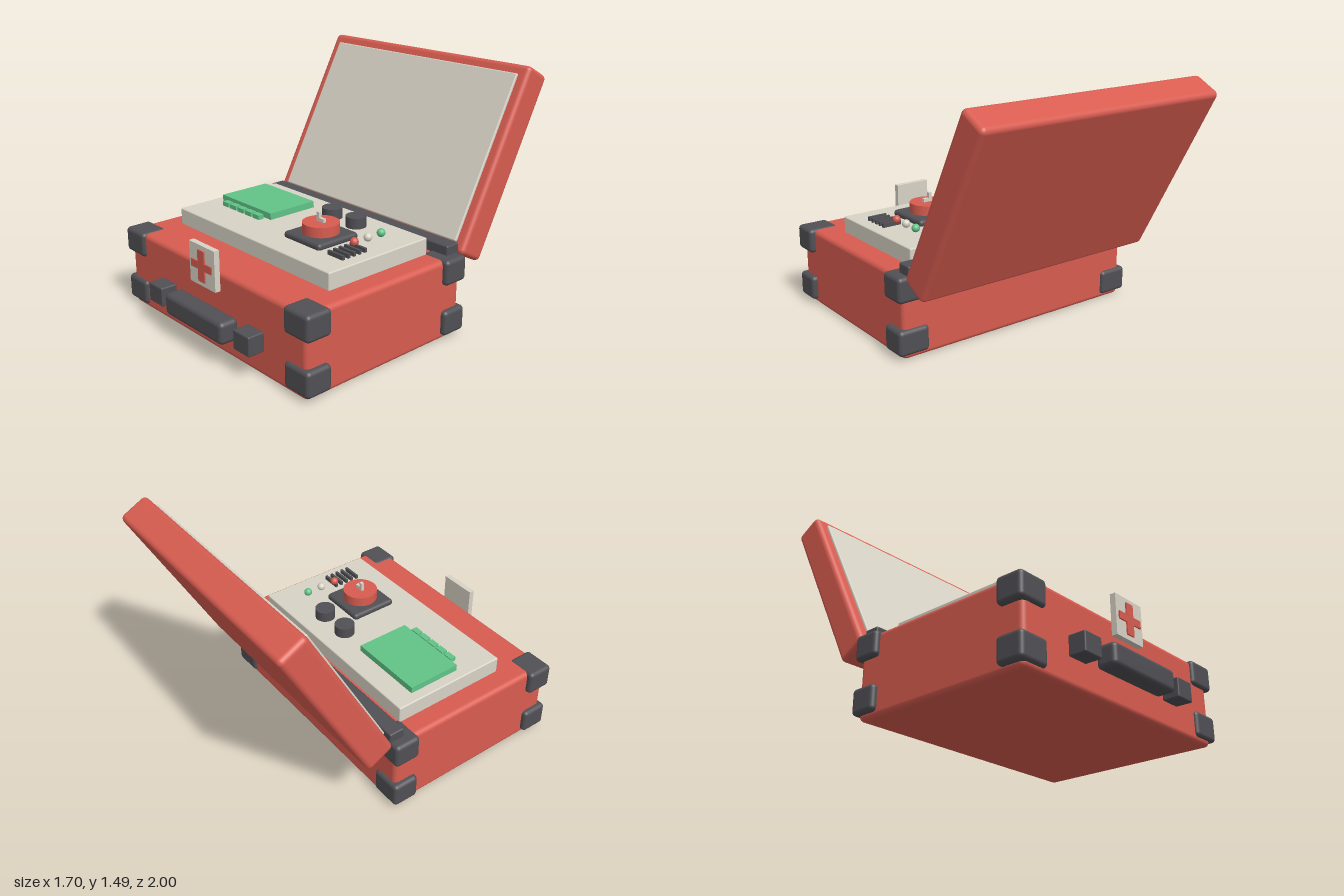
import * as THREE from 'three';
import { RoundedBoxGeometry } from 'three/addons/geometries/RoundedBoxGeometry.js';

const mat = (name, color) => {
  const m = new THREE.MeshStandardMaterial({ color });
  m.name = name;
  return m;
};

export function createModel() {
  const red = mat('red', 0xd85c50);
  const cream = mat('cream', 0xd8d3c6);
  const dark = mat('charcoal', 0x505055);
  const green = mat('green', 0x62c488);

  const model = new THREE.Group();
  model.name = 'medicalCase';

  const add = (name, geometry, material, x, y, z, parent = model) => {
    const mesh = new THREE.Mesh(geometry, material);
    mesh.name = name;
    mesh.position.set(x, y, z);
    parent.add(mesh);
    return mesh;
  };
  // Box given by its limits on each axis, with optional rounded edges
  const box = (name, material, [x0, x1], [y0, y1], [z0, z1], r = 0, parent = model) => {
    const size = [x1 - x0, y1 - y0, z1 - z0];
    const geometry = r ? new RoundedBoxGeometry(...size, 3, r) : new THREE.BoxGeometry(...size);
    return add(name, geometry, material, (x0 + x1) / 2, (y0 + y1) / 2, (z0 + z1) / 2, parent);
  };

  // Case body and corner guards
  box('caseBody', red, [-0.815, 0.815], [0, 0.485], [-0.285, 0.87], 0.03);
  for (const s of [-1, 1]) {
    for (const y of [0.105, 0.415]) {
      for (const z of [-0.222, 0.807]) {
        add('cornerGuard', new RoundedBoxGeometry(0.195, 0.152, 0.167, 3, 0.025), dark, s * 0.752, y, z);
      }
    }
  }

  // Hinge bar and tilted lid with its lining
  box('hinge', dark, [-0.785, 0.785], [0.45, 0.548], [-0.305, -0.207], 0.01);
  const lid = new THREE.Group();
  lid.name = 'lid';
  lid.position.set(0, 0.945, -0.653);
  lid.rotation.x = -0.489;
  model.add(lid);
  box('lidShell', red, [-0.815, 0.815], [-0.578, 0.578], [-0.095, 0.095], 0.03, lid);
  box('lidLining', cream, [-0.75, 0.75], [-0.515, 0.515], [0.08, 0.11], 0.008, lid);

  // Control deck with screen and keys
  box('controlDeck', cream, [-0.682, 0.678], [0.46, 0.585], [-0.155, 0.595], 0.008);
  box('screen', green, [-0.618, -0.14], [0.58, 0.625], [-0.02, 0.32]);
  for (let i = 0; i < 5; i++) {
    const x = -0.546 + i * 0.075;
    box('screenKey', green, [x, x + 0.06], [0.58, 0.612], [0.337, 0.375]);
  }

  // Knobs and selector dial
  for (const x of [0.065, 0.27]) {
    add('knob', new THREE.CylinderGeometry(0.062, 0.062, 0.07, 24), dark, x, 0.615, 0.012);
  }
  box('dialBase', dark, [0.118, 0.422], [0.575, 0.62], [0.135, 0.437], 0.02);
  add('dial', new THREE.CylinderGeometry(0.108, 0.108, 0.065, 24), red, 0.27, 0.648, 0.286);
  box('dialPointer', cream, [0.242, 0.302], [0.68, 0.702], [0.276, 0.296]);
  box('dialPointerPost', cream, [0.245, 0.265], [0.702, 0.735], [0.276, 0.296]);

  // Indicator lamps and vent slats
  [green, cream, red].forEach((m, i) =>
    add('lamp', new THREE.SphereGeometry(0.025, 16, 12), m, 0.51, 0.62, 0.047 + i * 0.104));
  for (let i = 0; i < 5; i++) {
    const z = 0.258 + i * 0.041;
    box('ventSlat', dark, [0.484, 0.604], [0.58, 0.61], [z - 0.008, z + 0.008]);
  }

  // Front badge with a cross
  box('badge', cream, [-0.12, 0.115], [0.38, 0.62], [0.88, 0.914]);
  const cross = new THREE.Shape();
  const a = 0.03, b = 0.095, h = 0.125;
  [[-a, -h], [a, -h], [a, -a], [b, -a], [b, a], [a, a], [a, h], [-a, h], [-a, a], [-b, a], [-b, -a], [-a, -a]]
    .forEach(([x, y], i) => (i ? cross.lineTo(x, y) : cross.moveTo(x, y)));
  const crossGeometry = new THREE.ExtrudeGeometry(cross, { depth: 0.008, bevelEnabled: false });
  const badgeCross = add('badgeCross', crossGeometry, red, -0.003, 0.5, 0.914);
  badgeCross.scale.set(1, 0.74, 1);

  // Carry handle and latches
  box('handle', dark, [-0.272, 0.272], [0.143, 0.275], [0.878, 1.0], 0.028);
  for (const s of [-1, 1]) {
    const latch = new RoundedBoxGeometry(0.135, 0.115, 0.105, 2, 0.008);
    add('latch', latch, dark, s * 0.41, 0.21, 0.92);
  }
  return model;
}
